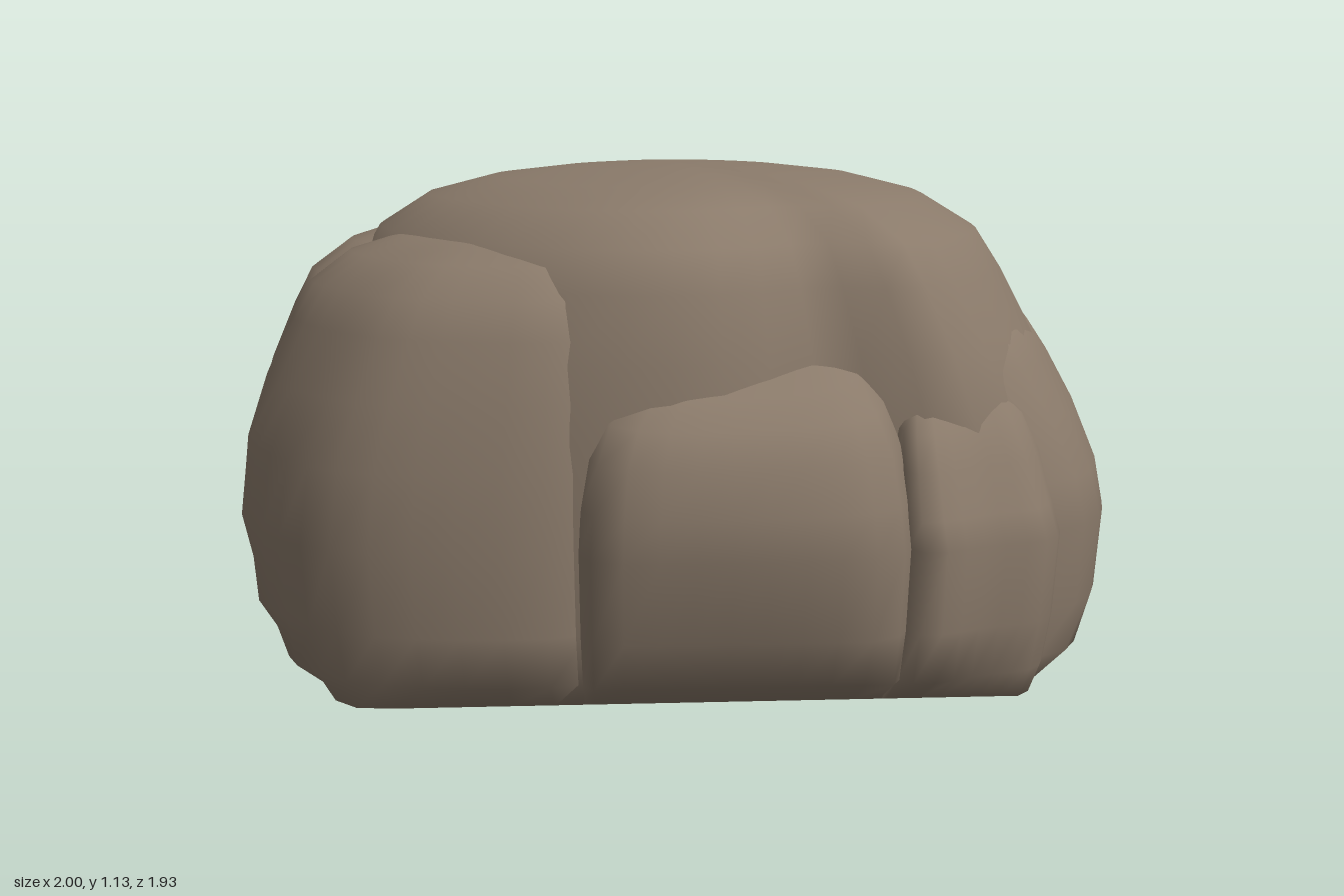
import * as THREE from 'three';

// Foot rings: [scale, x limit, z limit, height]; the limits square off the base
const FOOT = [[0.92, 0.72, 0.69, 0], [0.94, 0.77, 0.74, 0.006], [0.965, 0.88, 0.86, 0.07],
  [0.985, 0.95, 0.92, 0.18], [1, 1, 0.96, 0.36]];
// Upper profiles: [x scale, z scale, height fraction]
const BLOCK = [[0.98, 1, 0.52], [0.92, 0.99, 0.66], [0.84, 0.96, 0.79], [0.78, 0.91, 0.87],
  [0.65, 0.79, 0.935], [0.48, 0.6, 0.97], [0.28, 0.3, 0.99]];
const LUMP = [[0.99, 0.99, 0.58], [0.96, 0.96, 0.73], [0.88, 0.88, 0.85], [0.74, 0.74, 0.93],
  [0.5, 0.5, 0.98], [0.25, 0.25, 0.995]];

// Closed boulder lofted from a smooth plan outline (x, z), listed from +x round towards +z.
// Taper draws in the diagonal corners of the rock towards the top.
function boulder(name, material, { outline, centre, height, profile = BLOCK, taper = 0.15, lean = 0, sides = 32 }) {
  const curve = new THREE.CatmullRomCurve3(
    outline.map(([x, z]) => new THREE.Vector3(x, 0, z)), true, 'centripetal');
  const plan = curve.getSpacedPoints(sides).slice(0, sides);
  const [cx, cz] = centre;
  const pos = [], index = [];
  for (const [s, limitX, limitZ, y] of FOOT) {
    for (const p of plan) {
      pos.push(THREE.MathUtils.clamp(p.x * s, -limitX, limitX), y, THREE.MathUtils.clamp(p.z * s, -limitZ, limitZ));
    }
  }
  for (const [sx, sz, t] of profile) {
    for (const p of plan) {
      const diagonal = Math.sin(2 * Math.atan2(p.z, p.x)) ** 2;
      const pull = 1 - taper * diagonal * (t - 0.45);
      const x = (cx + (p.x - cx) * sx) * pull, z = (cz + (p.z - cz) * sz) * pull;
      pos.push(x, t * height + t * t * t * lean * (z - cz), z);
    }
  }
  const rings = FOOT.length + profile.length;
  for (let i = 0; i < rings - 1; i++) {
    for (let j = 0; j < sides; j++) {
      const a = i * sides + j, b = i * sides + (j + 1) % sides;
      index.push(a, a + sides, b, b, a + sides, b + sides);
    }
  }
  // flat base and top cap
  const base = rings * sides, top = base + 1, last = (rings - 1) * sides;
  pos.push(cx * 0.8, 0, cz * 0.8, cx, height, cz);
  for (let j = 0; j < sides; j++) {
    const k = (j + 1) % sides;
    index.push(base, j, k, top, last + k, last + j);
  }
  const geometry = new THREE.BufferGeometry();
  geometry.setAttribute('position', new THREE.Float32BufferAttribute(pos, 3));
  geometry.setIndex(index);
  geometry.computeVertexNormals();
  const mesh = new THREE.Mesh(geometry, material);
  mesh.name = name;
  return mesh;
}

export function createModel() {
  const group = new THREE.Group();
  group.name = 'rock';
  const stone = new THREE.MeshStandardMaterial({ color: 0x8a7a6a });
  stone.name = 'stone';

  const parts = {
    // broad flat-topped body
    coreBoulder: {
      outline: [[0.92, 0], [0.88, 0.42], [0.72, 0.68], [0.54, 0.78], [0.35, 0.72], [0, 0.85], [-0.35, 0.82],
        [-0.66, 0.62], [-0.86, 0.2], [-0.86, -0.25], [-0.68, -0.58], [-0.35, -0.8], [0, -0.91], [0.4, -0.87],
        [0.69, -0.71], [0.91, -0.36]],
      centre: [0, 0], height: 1.13, sides: 48,
    },
    // lumps bulging out around the body
    frontLump: {
      outline: [[0.48, 0.6], [0.42, 0.9], [0.14, 0.96], [-0.22, 0.93], [-0.25, 0.75], [-0.2, 0.4], [0.15, 0.3], [0.45, 0.4]],
      centre: [0.12, 0.5], height: 0.82, profile: LUMP, lean: -0.3,
    },
    frontLeftLump: {
      outline: [[0.8, 0.5], [0.77, 0.77], [0.63, 0.83], [0.47, 0.89], [0.42, 0.65], [0.43, 0.4], [0.65, 0.3]],
      centre: [0.58, 0.45], height: 0.76, profile: LUMP, lean: -0.25,
    },
    leftLump: {
      outline: [[1, 0.16], [0.96, 0.44], [0.88, 0.62], [0.7, 0.72], [0.3, 0.65], [0, 0.2], [0.3, -0.2], [0.7, -0.25],
        [0.97, -0.1]],
      centre: [0.25, 0.22], height: 0.89,
    },
    frontRightLump: {
      outline: [[-0.1, 0.4], [-0.22, 0.82], [-0.38, 0.865], [-0.76, 0.78], [-0.94, 0.53], [-1, 0.3], [-0.95, 0.13],
        [-0.7, 0], [-0.2, 0]],
      centre: [-0.32, 0.28], height: 1.01,
    },
    backRightLump: {
      outline: [[-0.1, -0.1], [-0.4, 0.1], [-0.75, 0.17], [-0.97, 0.11], [-1, -0.2], [-0.94, -0.4], [-0.87, -0.61],
        [-0.55, -0.82], [-0.28, -0.84], [-0.15, -0.5]],
      centre: [-0.32, -0.22], height: 1.01, taper: 0.3,
    },
    backLump: {
      outline: [[0.95, -0.2], [0.6, 0], [0.1, 0], [-0.25, -0.4], [-0.31, -0.86], [-0.15, -0.945], [0.18, -0.96],
        [0.46, -0.92], [0.71, -0.77], [0.85, -0.55], [0.95, -0.34]],
      centre: [0.25, -0.28], height: 0.93, taper: 0.25,
    },
  };
  for (const [name, spec] of Object.entries(parts)) group.add(boulder(name, stone, spec));
  return group;
}
